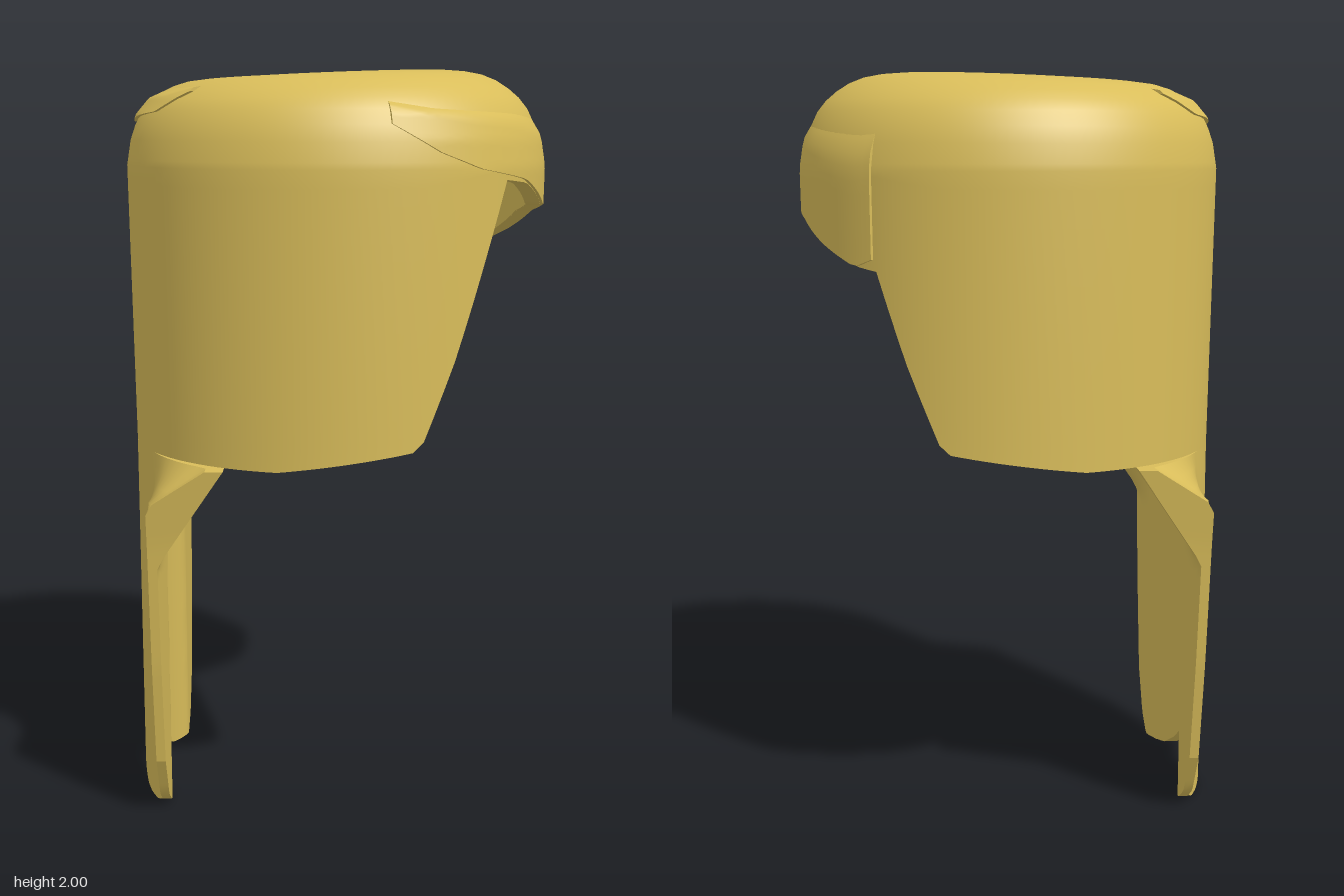
import * as THREE from 'three';
import { mergeVertices, mergeGeometries } from 'three/addons/utils/BufferGeometryUtils.js';

const RAD = Math.PI / 180;
const WALL = 0.04;
const clamp01 = (t) => Math.min(1, Math.max(0, t));

// Piecewise linear lookup in a short list of [key, value] pairs
function lookup(table, k) {
  if (k <= table[0][0]) return table[0][1];
  for (let i = 1; i < table.length; i++) {
    const [k0, v0] = table[i - 1], [k1, v1] = table[i];
    if (k <= k1) return v0 + (v1 - v0) * (k - k0) / (k1 - k0);
  }
  return table[table.length - 1][1];
}

// Smooth surface from a rule f(u, v) -> [x, y, z]
function surface(f, nu, nv, flip) {
  const pos = [], idx = [];
  for (let j = 0; j <= nv; j++)
    for (let i = 0; i <= nu; i++) pos.push(...f(i / nu, j / nv));
  for (let j = 0; j < nv; j++)
    for (let i = 0; i < nu; i++) {
      const a = j * (nu + 1) + i, b = a + 1, c = a + nu + 1, d = c + 1;
      if (flip) idx.push(a, c, b, b, c, d);
      else idx.push(a, b, c, b, d, c);
    }
  let g = new THREE.BufferGeometry();
  g.setAttribute('position', new THREE.Float32BufferAttribute(pos, 3));
  g.setIndex(idx);
  g = mergeVertices(g, 1e-5);
  g.computeVertexNormals();
  return g;
}

// Thick sheet: outer and inner faces joined by crisp rims
function sheet(outer, inner, nu, nv, closed) {
  const mix = (p, q, t) => p.map((a, k) => a + (q[k] - a) * t);
  const parts = [
    surface(outer, nu, nv, false),
    surface(inner, nu, nv, true),
    surface((u, v) => mix(outer(u, 1), inner(u, 1), v), nu, 1, false),
  ];
  if (!closed) {
    parts.push(surface((u, v) => mix(outer(u, 0), inner(u, 0), v), nu, 1, true));
    parts.push(surface((u, v) => mix(outer(0, u), inner(0, u), v), nv, 1, true));
    parts.push(surface((u, v) => mix(outer(1, u), inner(1, u), v), nv, 1, false));
  }
  return mergeGeometries(parts);
}

// Crown profile: share of full radius against height
const DOME = [[0, 1.983], [0.4, 1.988], [0.6, 1.988], [0.7, 1.98], [0.8, 1.96],
  [0.88, 1.925], [0.94, 1.885], [0.98, 1.82], [1, 1.75]];
const DOME_BY_Y = DOME.slice(2).map(([r, y]) => [y, r]).reverse();

// Lower edge of the crown by angle in degrees, 0 = +x, 90 = +z
const HEM = [[-122, 1], [-105, 1], [-67, 1.05], [-57, 1.27], [-48, 1.5], [-41, 1.51],
  [-27, 1.56], [-12, 1.62], [0, 1.64], [12, 1.65], [28, 1.71], [39, 1.72], [46, 1.55],
  [57, 1.27], [67, 1.05], [105, 1], [122, 1]];
// Lower edge of the fringe and of the back layer
const FRINGE = [[-47, 1.53], [-41, 1.51], [-27, 1.56], [-12, 1.62], [0, 1.64], [12, 1.65],
  [30, 1.72], [50, 1.75], [62, 1.79], [75, 1.86]];
const BACK = [[139, 1.94], [150, 1.89], [165, 1.88], [180, 1.865], [195, 1.88],
  [210, 1.89], [221, 1.94]];

// Point on the head oval, moved outward by grow
function onHead(deg, y, share, grow) {
  const taper = clamp01((1.75 - y) / 0.75) * 0.01;
  return [((0.564 - taper) * share + grow) * Math.cos(deg * RAD), y,
    ((0.546 - taper) * share + grow) * Math.sin(deg * RAD)];
}

// Crown with side walls; its top leans slightly to the back
function crownPoint(inside) {
  return (u, v) => {
    const deg = 180 - 360 * u;
    const grow = inside ? -WALL : 0;
    if (v <= 0.5) {
      const k = Math.sin(v * Math.PI);
      const p = onHead(deg, lookup(DOME, k), k, grow * k);
      p[1] += 0.012 * Math.cos(deg * RAD) * Math.sin(Math.PI * k);
      if (inside) p[1] -= WALL * (1 - Math.pow(k, 6));
      return p;
    }
    const t = (v - 0.5) * 2;
    return onHead(deg, 1.75 + (lookup(HEM, deg) - 1.75) * t, 1, grow);
  };
}

// Thin lock lying over the crown
function layer(table, top, grow, depth) {
  const from = table[0][0], to = table[table.length - 1][0];
  const rule = (g) => (u, v) => {
    const deg = to + (from - to) * u;
    const y = top + (lookup(table, deg) - top) * v;
    // upper edge sinks into the crown
    return onHead(deg, y, lookup(DOME_BY_Y, y), g - (1 - Math.min(1, v * 3)) * 0.025);
  };
  return sheet(rule(grow), rule(grow - depth), 48, 12, false);
}

// Long hanging back piece: half width by height, lower edge by share of width
const HALF = [[0.17, 0.38], [0.45, 0.43], [0.8, 0.475], [1, 0.51]];
const TAIL = [[0, 0.11], [0.2, 0.05], [0.38, 0.008], [0.5, 0], [0.65, 0], [0.82, 0.045], [1, 0.17]];
function tailPoint(inside) {
  const [rx, rz, wing, low, high] = inside
    ? [0.514, 0.496, -0.455, 0.74, 1] : [0.554, 0.536, -0.48, 0.9, 1.03];
  return (u, v) => {
    const s = 1 - 2 * u;
    const y = 1 + (lookup(TAIL, Math.abs(s)) - 1) * v;
    const z = s * lookup(HALF, y);
    // follows the back of the crown, with flat wings at both sides
    const round = Math.min(-0.28, -rx * Math.sqrt(Math.max(0, 1 - (z / rz) ** 2)));
    const hang = Math.min(round, wing);
    return [hang + (round - hang) * clamp01((y - low) / (high - low)), y, z];
  };
}

export function createModel() {
  const model = new THREE.Group();
  model.name = 'hair';
  const blond = new THREE.MeshStandardMaterial({ color: 0xd9bd5a, side: THREE.DoubleSide });
  blond.name = 'blond';
  const add = (name, geometry) => {
    const mesh = new THREE.Mesh(geometry, blond);
    mesh.name = name;
    model.add(mesh);
  };
  add('crown', sheet(crownPoint(false), crownPoint(true), 120, 32, true));
  add('fringe', layer(FRINGE, 1.93, 0.008, 0.045));
  add('backLayer', layer(BACK, 1.955, 0.007, 0.02));
  add('hangingBack', sheet(tailPoint(false), tailPoint(true), 48, 28, false));
  return model;
}
